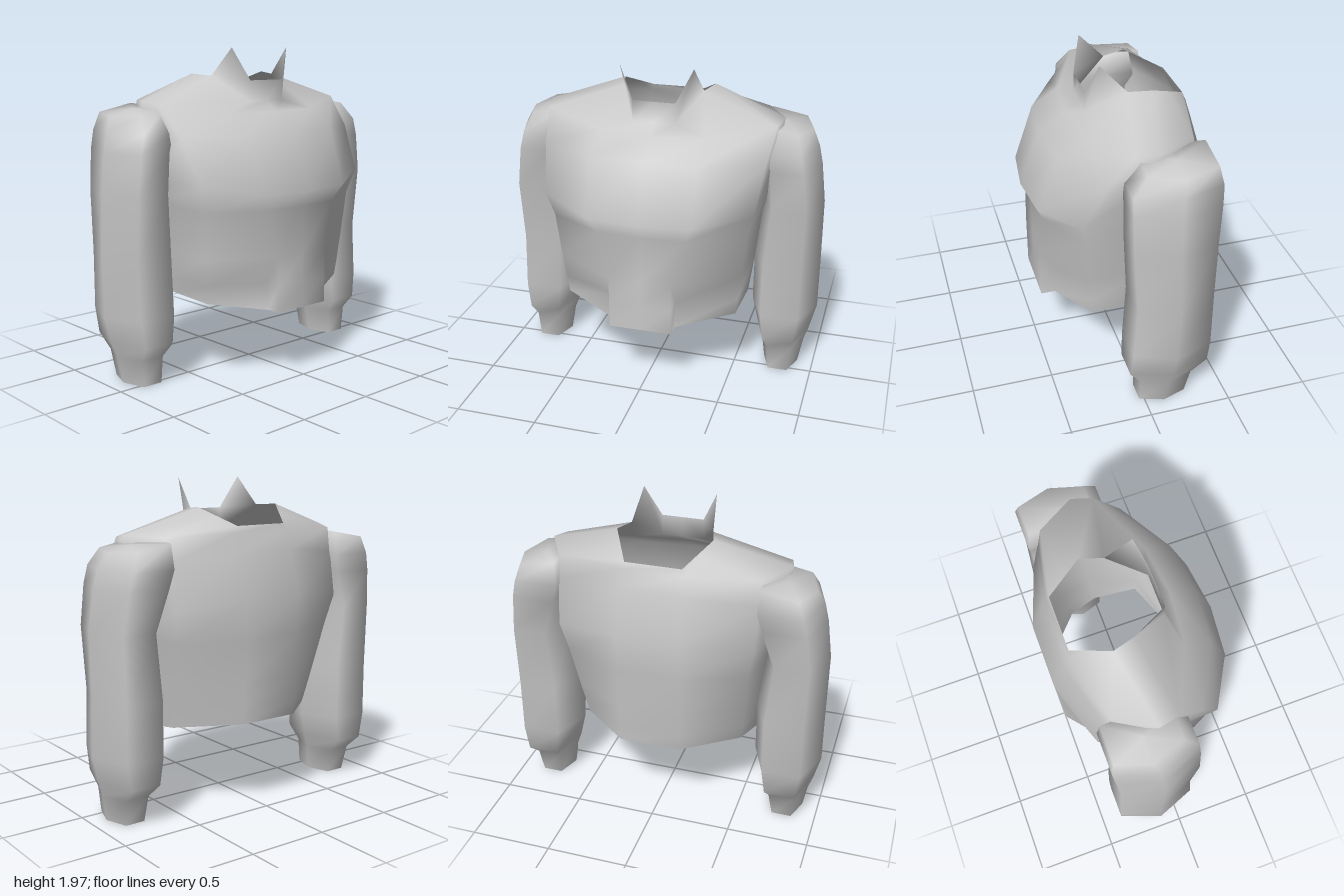
import * as THREE from 'three';
import { mergeVertices } from 'three/addons/utils/BufferGeometryUtils.js';

const cloth = new THREE.MeshStandardMaterial({ color: 0xc8c8c8, side: THREE.DoubleSide });
cloth.name = 'grey cloth';

// Closed skin over rings of points (bottom to top, counterclockwise from above).
function skin(name, rows, keep = () => true) {
  const n = rows[0].length, index = [];
  for (let i = 0; i < rows.length - 1; i++) {
    for (let j = 0; j < n; j++) {
      if (!keep(i, j)) continue;
      const k = (j + 1) % n, a = i * n + j, b = i * n + k;
      index.push(a, b, b + n, a, b + n, a + n);
    }
  }
  const points = rows.flat().map((p) => new THREE.Vector3(...p));
  const g = new THREE.BufferGeometry().setFromPoints(points);
  g.setIndex(index);
  const merged = mergeVertices(g);
  merged.computeVertexNormals();
  const mesh = new THREE.Mesh(merged, cloth);
  mesh.name = name;
  return mesh;
}

const mirror = ([x, y, z]) => [-x, y, z];
const mirrorRow = (row) => row.map(mirror).reverse();

// Half outline of the body, from front centre round the side to the back
function bodyHalf([yFront, ySide, yBack, zFront, zCorner, zBack, width, panel]) {
  // The rear corner moves forward towards the hem and inward at the shoulder
  const rise = Math.min((ySide - 0.49) / 0.7, 1);
  return [
    [0, yFront, zFront],
    [panel, yFront, zFront - (panel - 0.195) * 0.28],
    [width * 0.96, ySide, zCorner],
    [width, ySide + 0.02, -0.05 * (1 + rise)],
    [Math.min(width * 0.89, 0.61), (ySide + yBack) / 2, zBack * (0.46 + 0.3 * rise)],
    [0.19, yBack, zBack],
  ];
}

// Levels: front y, side y, back y, front z, corner z, back z, half width, panel edge x
const bodyLevels = [
  [0.42, 0.49, 0.555, 0.48, 0.24, -0.515, 0.565, 0.195],
  [0.58, 0.6, 0.65, 0.48, 0.25, -0.52, 0.58, 0.195],
  [0.75, 0.76, 0.8, 0.48, 0.26, -0.525, 0.6, 0.195],
  [1.04, 1.04, 1.06, 0.48, 0.28, -0.535, 0.63, 0.27],
  [1.14, 1.19, 1.3, 0.54, 0.32, -0.548, 0.67, 0.32],
  [1.48, 1.46, 1.56, 0.42, 0.19, -0.47, 0.71, 0.33],
  [1.59, 1.645, 1.67, 0.25, 0.03, -0.435, 0.74, 0.33],
];

function body() {
  const neck = [[0, 1.65, 0.16], [0.13, 1.65, 0.16], [0.25, 1.8, -0.06],
    [0.29, 1.81, -0.2], [0.23, 1.76, -0.31], [0.17, 1.71, -0.42]];
  // Standing collar: low in front, rising to a point on each side
  const collar = [[0, 1.775, 0.16], [0.13, 1.775, 0.16], [0.225, 1.97, 0.1], ...neck.slice(3)];
  const setbacks = [0.09, 0.11];
  const rows = [...bodyLevels.map(bodyHalf), neck, collar].map(([mid, edge, ...rest], i) => {
    // Near the hem the side panels step back behind the front panel
    const [x, y, z] = edge;
    const side = [[x, y, z - (setbacks[i] ?? 0)], ...rest];
    return [...side, ...mirrorRow(side), mirror(edge), mid, edge];
  });
  const collarColumns = [0, 8, 10, 11];
  return skin('body', rows, (i, j) => i < bodyLevels.length || collarColumns.includes(j));
}

// Sleeve sections: y, inner x, outer x, front z, back z
const sleeveSections = [
  [0, 0.68, 0.9, 0.03, -0.26],
  [0.16, 0.655, 0.93, 0.03, -0.29],
  [0.25, 0.62, 0.96, 0.1, -0.385],
  [0.41, 0.58, 1, 0.09, -0.39],
  [0.75, 0.58, 1, 0.07, -0.39],
  [1.14, 0.63, 1, 0.1, -0.39],
  [1.38, 0.62, 0.97, 0.1, -0.41],
  [1.49, 0.59, 0.945, 0.095, -0.42],
  [1.58, 0.6, 0.9, 0.01, -0.4],
  [1.59, 0.74, 0.741, -0.19, -0.191],
];

function sleeve(flip) {
  const rows = sleeveSections.map(([y, inner, outer, front, back]) => {
    const inset = (outer - inner) * 0.22, middle = (front + back) / 2;
    // Fuller rear inside corner and a cap sloping up to the shoulder
    const rearInset = y > 1.3 ? inset * 0.2 : inset;
    const slope = y > 1.55 ? 0.19 : 0;
    const ring = [
      [inner + inset, front], [outer - inset, front], [outer, middle],
      [outer - inset, back], [inner + rearInset, back], [inner, middle],
    ].map(([x, z]) => [x, y + (0.9 - x) * slope, z]);
    return flip ? mirrorRow(ring) : ring;
  });
  return skin(flip ? 'rightSleeve' : 'leftSleeve', rows);
}

export function createModel() {
  const jacket = new THREE.Group();
  jacket.name = 'jacket';
  jacket.add(body(), sleeve(false), sleeve(true));
  return jacket;
}
